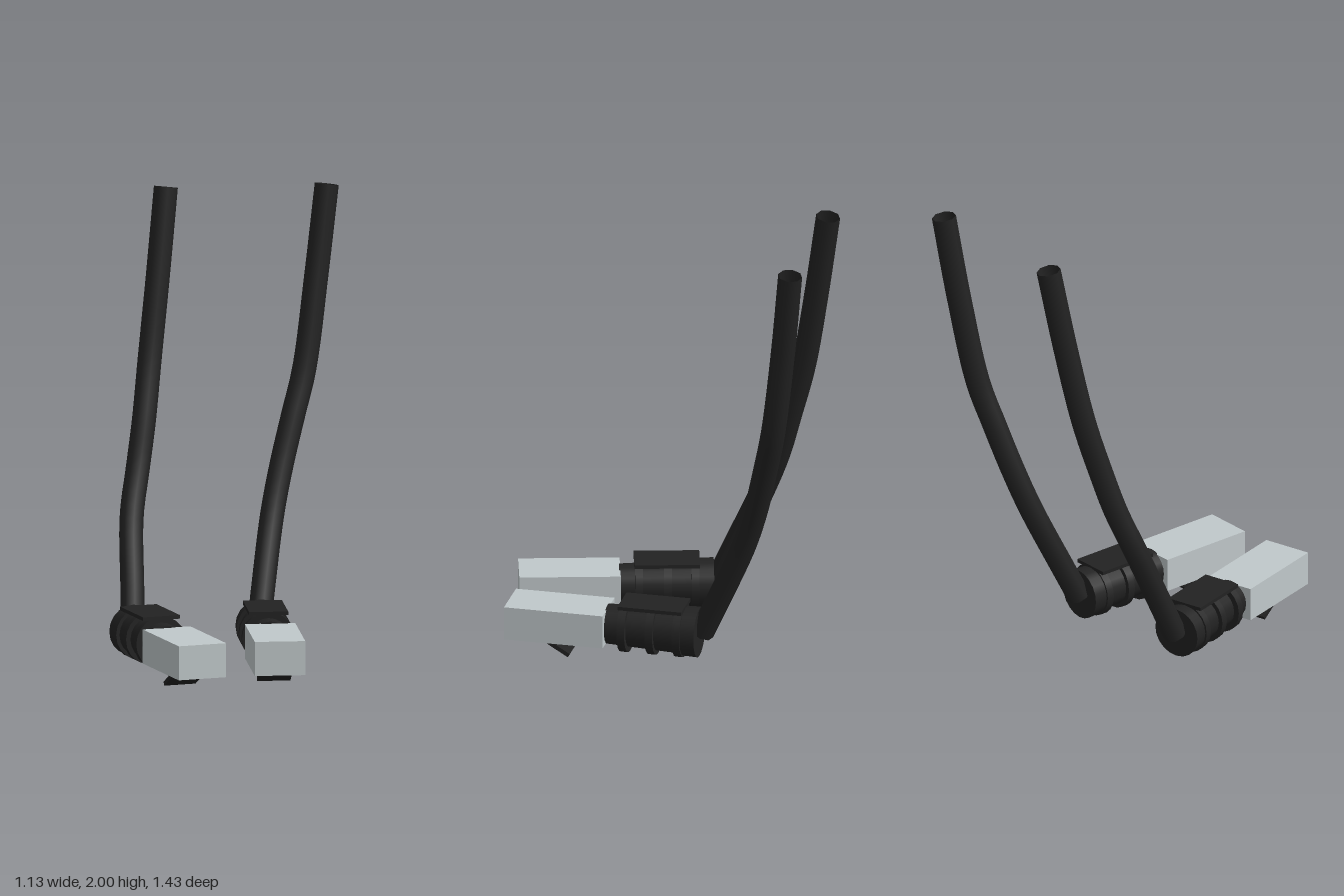
import * as THREE from 'three';

const black = new THREE.MeshStandardMaterial({ color: 0x222222, side: THREE.DoubleSide });
black.name = 'black rubber';
const grey = new THREE.MeshStandardMaterial({ color: 0xc0c8ca });
grey.name = 'pale grey plastic';

function add(parent, name, geometry, material, x = 0, y = 0, z = 0) {
  const mesh = new THREE.Mesh(geometry, material);
  mesh.name = name;
  mesh.position.set(x, y, z);
  parent.add(mesh);
  return mesh;
}

// Ring or cone lying along z, front radius first
function barrel(rFront, rBack, length) {
  return new THREE.CylinderGeometry(rFront, rBack, length, 20).rotateX(Math.PI / 2);
}

// Plug with its strain relief, built along z around the centre of the block
function makeConnector(name, x, turn) {
  const g = new THREE.Group();
  g.name = name;
  g.position.set(x, 0.143, 0.481);
  g.rotation.y = turn;

  add(g, 'plugBlock', new THREE.BoxGeometry(0.22, 0.15, 0.44), grey, 0, 0.002, 0);
  const latch = add(g, 'latch', new THREE.BoxGeometry(0.145, 0.018, 0.14), black, 0, -0.102, 0);
  latch.rotation.x = -0.53;

  // Tapered collar, end ring and ribs
  add(g, 'collar', barrel(0.087, 0.102, 0.35), black, 0, 0, -0.39);
  add(g, 'collarEnd', barrel(0.108, 0.111, 0.075), black, 0, 0, -0.588);
  for (const z of [-0.3, -0.425, -0.545]) {
    add(g, 'rib', barrel(0.116, 0.116, 0.034), black, 0, 0, z);
  }
  // Flat cover on top of the ribs
  add(g, 'topPlate', new THREE.BoxGeometry(0.17, 0.016, 0.285), black, 0, 0.11, -0.422);
  return g;
}

function makeCable(name, points) {
  const curve = new THREE.CatmullRomCurve3(points.map((p) => new THREE.Vector3(...p)));
  const mesh = new THREE.Mesh(new THREE.TubeGeometry(curve, 32, 0.053, 8, false), black);
  mesh.name = name;
  return mesh;
}

export function createModel() {
  const model = new THREE.Group();
  model.name = 'cablePair';
  model.add(makeConnector('rightConnector', -0.369, 0.135));
  model.add(makeConnector('leftConnector', 0.034, -0.13));
  model.add(makeCable('rightCable', [
    [-0.455, 0.14, -0.15], [-0.438, 0.3, -0.22], [-0.41, 0.6, -0.355], [-0.365, 0.8, -0.43],
    [-0.325, 1.0, -0.485], [-0.285, 1.25, -0.55], [-0.235, 1.6, -0.61], [-0.185, 1.99, -0.667],
  ]));
  model.add(makeCable('leftCable', [
    [0.11, 0.14, -0.15], [0.145, 0.3, -0.22], [0.215, 0.6, -0.345], [0.27, 0.8, -0.405],
    [0.33, 1.0, -0.45], [0.39, 1.2, -0.49], [0.455, 1.6, -0.54], [0.51, 1.99, -0.578],
  ]));
  return model;
}
